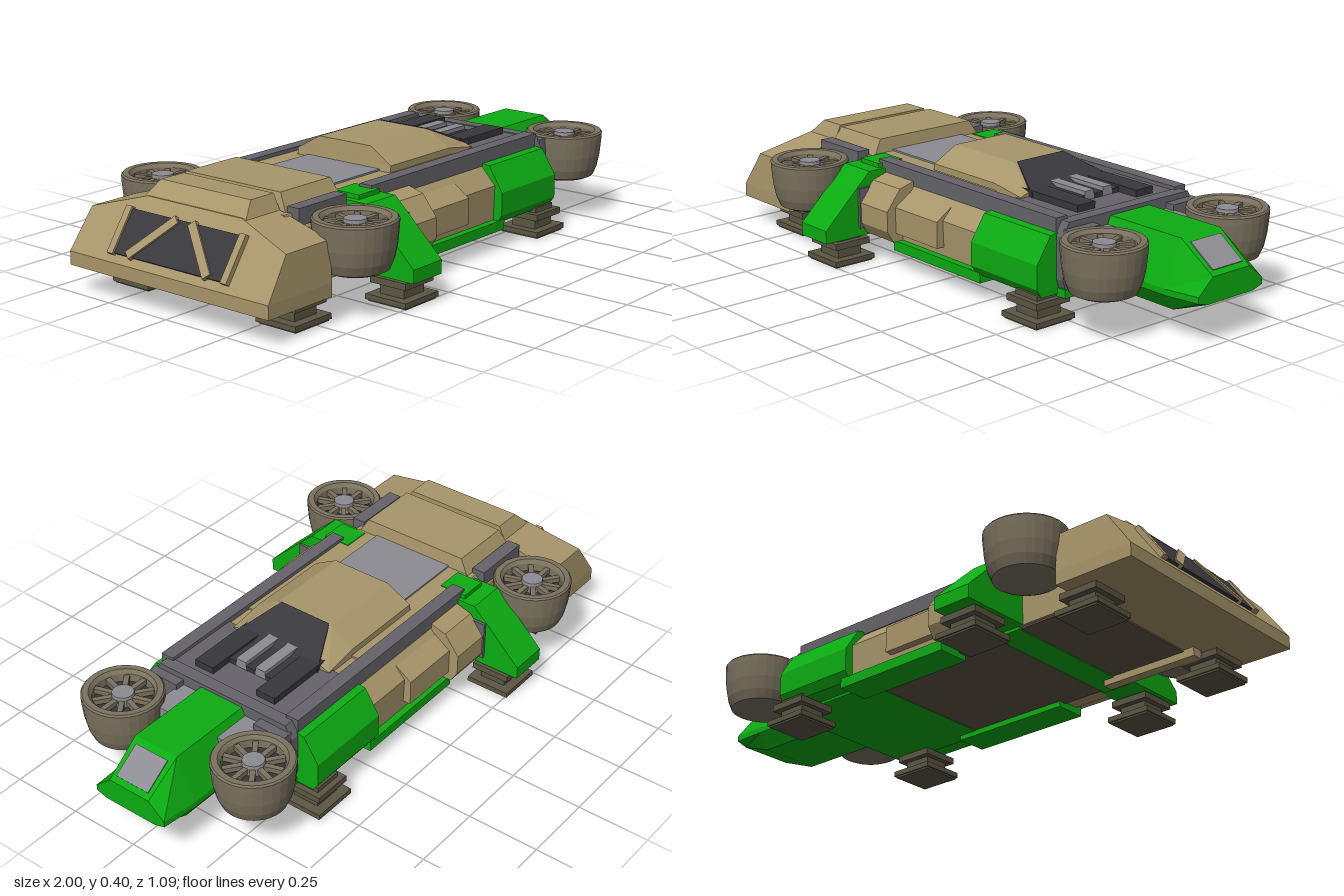
import * as THREE from 'three';

const paint = (color) => new THREE.MeshStandardMaterial({ color, flatShading: true, side: THREE.DoubleSide });
const TAN = paint(0xa8966a), GREEN = paint(0x0cac12), GREY = paint(0x66646a), PALE = paint(0x8c8c92),
  DARK = paint(0x38383d), POD = paint(0x7b735f), FOOT = paint(0x5c5744), SHADE = paint(0x5f5645);

export function createModel() {
  const model = new THREE.Group();

  function add(name, geometry, material, x = 0, y = 0, z = 0, parent = model) {
    const mesh = new THREE.Mesh(geometry, material);
    mesh.name = name;
    mesh.position.set(x, y, z);
    parent.add(mesh);
    return mesh;
  }

  // Box given by its limits
  const box = (name, mat, x0, x1, y0, y1, z0, z1) =>
    add(name, new THREE.BoxGeometry(x1 - x0, y1 - y0, z1 - z0), mat, (x0 + x1) / 2, (y0 + y1) / 2, (z0 + z1) / 2);

  // The same box on both sides
  const boxes = (name, mat, x0, x1, y0, y1, z0, z1) => {
    box(name + 'Left', mat, x0, x1, y0, y1, z0, z1);
    box(name + 'Right', mat, x0, x1, y0, y1, -z1, -z0);
  };

  // Hull from half sections of [x, y, z], listed bottom to top and mirrored in z
  function loft(name, mat, sections) {
    const rings = sections.map((s) => [...s, ...s.map(([x, y, z]) => [x, y, -z]).reverse()]);
    const n = rings[0].length, pos = [];
    const quad = (a, b, c, d) => pos.push(...a, ...b, ...c, ...a, ...c, ...d);
    for (let k = 0; k < rings.length - 1; k++)
      for (let i = 0; i < n; i++) {
        const j = (i + 1) % n;
        quad(rings[k][i], rings[k + 1][i], rings[k + 1][j], rings[k][j]);
      }
    const first = rings[0], last = rings[rings.length - 1];
    for (let i = 0; i < n / 2 - 1; i++) {
      quad(first[i], first[i + 1], first[n - 2 - i], first[n - 1 - i]);
      quad(last[i + 1], last[i], last[n - 1 - i], last[n - 2 - i]);
    }
    const g = new THREE.BufferGeometry();
    g.setAttribute('position', new THREE.Float32BufferAttribute(pos, 3));
    g.computeVertexNormals();
    return add(name, g, mat);
  }
  const at = (x, profile) => profile.map(([z, y]) => [x, y, z]);
  const prism = (name, mat, x0, x1, profile) => loft(name, mat, [at(x0, profile), at(x1, profile)]);

  // Side part: a (z, y) outline drawn along x, mirrored
  function sidePart(name, mat, x0, x1, outline) {
    for (const s of [1, -1]) {
      const shape = new THREE.Shape(outline.map(([z, y]) => new THREE.Vector2(-z * s, y)));
      const g = new THREE.ExtrudeGeometry(shape, { depth: x1 - x0, bevelEnabled: false });
      g.rotateY(Math.PI / 2);
      add(name + (s > 0 ? 'Left' : 'Right'), g, mat, x0);
    }
  }

  // Main hull
  prism('mainHull', TAN, -0.74, 0.53, [[0.28, 0.09], [0.28, 0.27], [0.25, 0.315]]);
  prism('midHull', TAN, -0.34, 0.23, [[0.33, 0.09], [0.335, 0.22], [0.26, 0.3]]);
  box('belly', SHADE, -0.74, 0.2, 0.084, 0.1, -0.27, 0.27);
  box('frontBelly', GREEN, 0.18, 0.57, 0.082, 0.11, -0.28, 0.28);
  box('bellyBand', GREEN, -0.46, -0.36, 0.08, 0.1, -0.28, 0.28);
  boxes('bellyRail', GREEN, -0.2, 0.25, 0.065, 0.1, 0.24, 0.355);
  box('bellyBar', TAN, -0.78, -0.42, 0.06, 0.09, 0.2, 0.24);

  // Wide stern with a sloped rear face
  loft('stern', TAN, [
    [[-1, 0.09, 0.42], [-1, 0.135, 0.42], [-0.91, 0.265, 0.41], [-0.87, 0.325, 0.2]],
    [[-0.72, 0.09, 0.42], [-0.72, 0.135, 0.42], [-0.72, 0.265, 0.41], [-0.72, 0.325, 0.2]],
  ]);
  loft('sternRoof', TAN, [
    [[-0.88, 0.31, 0.22], [-0.82, 0.37, 0.19]],
    [[-0.72, 0.31, 0.22], [-0.72, 0.37, 0.19]],
  ]);
  loft('rearRoof', TAN, [
    [[-0.715, 0.31, 0.235], [-0.7, 0.37, 0.2]],
    [[-0.46, 0.31, 0.235], [-0.47, 0.37, 0.2]],
  ]);

  // Rear hatch: dark panel with diagonal struts
  const hatch = new THREE.Group();
  hatch.name = 'rearHatch';
  hatch.position.set(-0.943, 0.222, 0);
  hatch.rotation.z = Math.atan2(0.19, 0.13);
  model.add(hatch);
  add('hatchPanel', new THREE.BoxGeometry(0.15, 0.014, 0.48), DARK, 0, 0, 0, hatch);
  for (const s of [1, -1]) {
    const strut = add('hatchStrut', new THREE.BoxGeometry(0.2, 0.02, 0.03), TAN, 0, 0.004, s * 0.1, hatch);
    strut.rotation.y = s * 0.75;
    add('hatchFrame', new THREE.BoxGeometry(0.16, 0.02, 0.025), TAN, 0, 0.004, s * 0.24, hatch);
  }

  // Deck, rails and superstructure
  box('deckPanel', PALE, -0.46, -0.17, 0.3, 0.328, -0.155, 0.155);
  boxes('deckEdge', TAN, -0.46, 0.15, 0.3, 0.322, 0.155, 0.235);
  boxes('rearRail', GREY, -0.71, -0.49, 0.28, 0.335, 0.235, 0.283);
  boxes('sideRail', GREY, -0.37, 0.53, 0.28, 0.335, 0.235, 0.283);
  boxes('railBand', GREEN, -0.45, -0.35, 0.28, 0.325, 0.2, 0.3);
  loft('superstructure', TAN, [
    [[-0.175, 0.31, 0.2], [-0.17, 0.345, 0.2], [-0.165, 0.397, 0.11]],
    [[0.14, 0.31, 0.2], [0.14, 0.345, 0.2], [0.14, 0.397, 0.11]],
    [[0.27, 0.31, 0.2], [0.27, 0.325, 0.2], [0.27, 0.335, 0.17]],
  ]);
  loft('darkSlope', DARK, [
    [[0.14, 0.37, 0.1], [0.14, 0.4, 0.1]],
    [[0.29, 0.31, 0.17], [0.29, 0.337, 0.17]],
  ]);
  box('foreDeck', GREY, 0.25, 0.53, 0.3, 0.322, -0.235, 0.235);
  boxes('exhaustRail', DARK, 0.22, 0.5, 0.31, 0.345, 0.09, 0.165);
  boxes('exhaustTube', PALE, 0.24, 0.42, 0.31, 0.352, 0.02, 0.06);
  box('exhaustBed', DARK, 0.22, 0.42, 0.31, 0.338, -0.1, 0.1);

  // Side boxes and green armour
  sidePart('sideLocker', TAN, -0.33, -0.18, [[0.27, 0.1], [0.37, 0.1], [0.395, 0.14], [0.395, 0.21], [0.34, 0.28], [0.27, 0.3]]);
  sidePart('sideStep', TAN, -0.18, 0.04, [[0.3, 0.13], [0.36, 0.13], [0.36, 0.22], [0.3, 0.26]]);
  sidePart('frontArmour', GREEN, 0.22, 0.535, [[0.24, 0.09], [0.345, 0.09], [0.365, 0.12], [0.365, 0.2], [0.31, 0.285], [0.24, 0.295]]);
  sidePart('sideArm', GREEN, -0.475, -0.335, [[0.25, 0.09], [0.535, 0.09], [0.535, 0.135], [0.41, 0.255], [0.35, 0.31], [0.25, 0.31]]);
  boxes('armTrim', GREY, -0.34, -0.325, 0.12, 0.26, 0.28, 0.4);

  // Front bulkhead and nose
  prism('bulkhead', GREY, 0.52, 0.565, [[0.27, 0.1], [0.285, 0.14], [0.285, 0.28], [0.26, 0.325]]);
  boxes('bulkheadPost', GREY, 0.56, 0.6, 0.14, 0.305, 0.16, 0.28);
  boxes('podPylon', PALE, 0.56, 0.7, 0.16, 0.285, 0.08, 0.17);
  const noseProfile = [[0.11, 0.09], [0.15, 0.145], [0.15, 0.165], [0.085, 0.312]];
  loft('nose', GREEN, [
    at(0.56, noseProfile), at(0.87, noseProfile),
    at(1, [[0.1, 0.138], [0.14, 0.15], [0.14, 0.17], [0.08, 0.222]]),
  ]);
  const glass = add('noseWindow', new THREE.BoxGeometry(0.115, 0.006, 0.13), PALE, 0.936, 0.267, 0);
  glass.rotation.z = -Math.atan2(0.09, 0.13);

  // Lift pods: bowl, spokes and hub
  const bowl = [[0, 0], [0.09, 0], [0.107, 0.008], [0.12, 0.04], [0.129, 0.085], [0.134, 0.14], [0.135, 0.162],
    [0.13, 0.168], [0.11, 0.168], [0.1, 0.155], [0.098, 0.125], [0, 0.125]].map(([r, y]) => new THREE.Vector2(r, y));
  for (const [where, x, z] of [['front', 0.73, 0.27], ['rear', -0.6, 0.41]])
    for (const s of [1, -1]) {
      const pod = new THREE.Group();
      pod.name = where + 'Pod' + (s > 0 ? 'Left' : 'Right');
      pod.position.set(x, 0.145, z * s);
      model.add(pod);
      add('podBowl', new THREE.LatheGeometry(bowl, 28), POD, 0, 0, 0, pod);
      add('podHub', new THREE.CylinderGeometry(0.036, 0.042, 0.04, 16), PALE, 0, 0.142, 0, pod);
      add('podFloor', new THREE.CylinderGeometry(0.097, 0.097, 0.004, 28), DARK, 0, 0.126, 0, pod);
      for (let i = 0; i < 10; i++) {
        const g = new THREE.BoxGeometry(0.066, 0.018, 0.018).translate(0.068, 0, 0);
        add('podSpoke', g, POD, 0, 0.142, 0, pod).rotation.y = (i / 10) * Math.PI * 2;
      }
    }

  // Landing feet
  for (const [x, z] of [[-0.77, 0.31], [-0.4, 0.43], [0.48, 0.31]])
    for (const s of [1, -1]) {
      const foot = new THREE.Group();
      foot.name = 'landingFoot';
      foot.position.set(x, 0, z * s);
      model.add(foot);
      const layers = [[0.15, 0, 0.006, 0.15], [0.164, 0.006, 0.024, 0.16], [0.1, 0.024, 0.06, 0.095], [0.14, 0.06, 0.082, 0.14], [0.1, 0.08, 0.1, 0.1]];
      for (const [w, y0, y1, d] of layers)
        add('footLayer', new THREE.BoxGeometry(w, y1 - y0, d), FOOT, 0, (y0 + y1) / 2, 0, foot);
    }

  return model;
}
